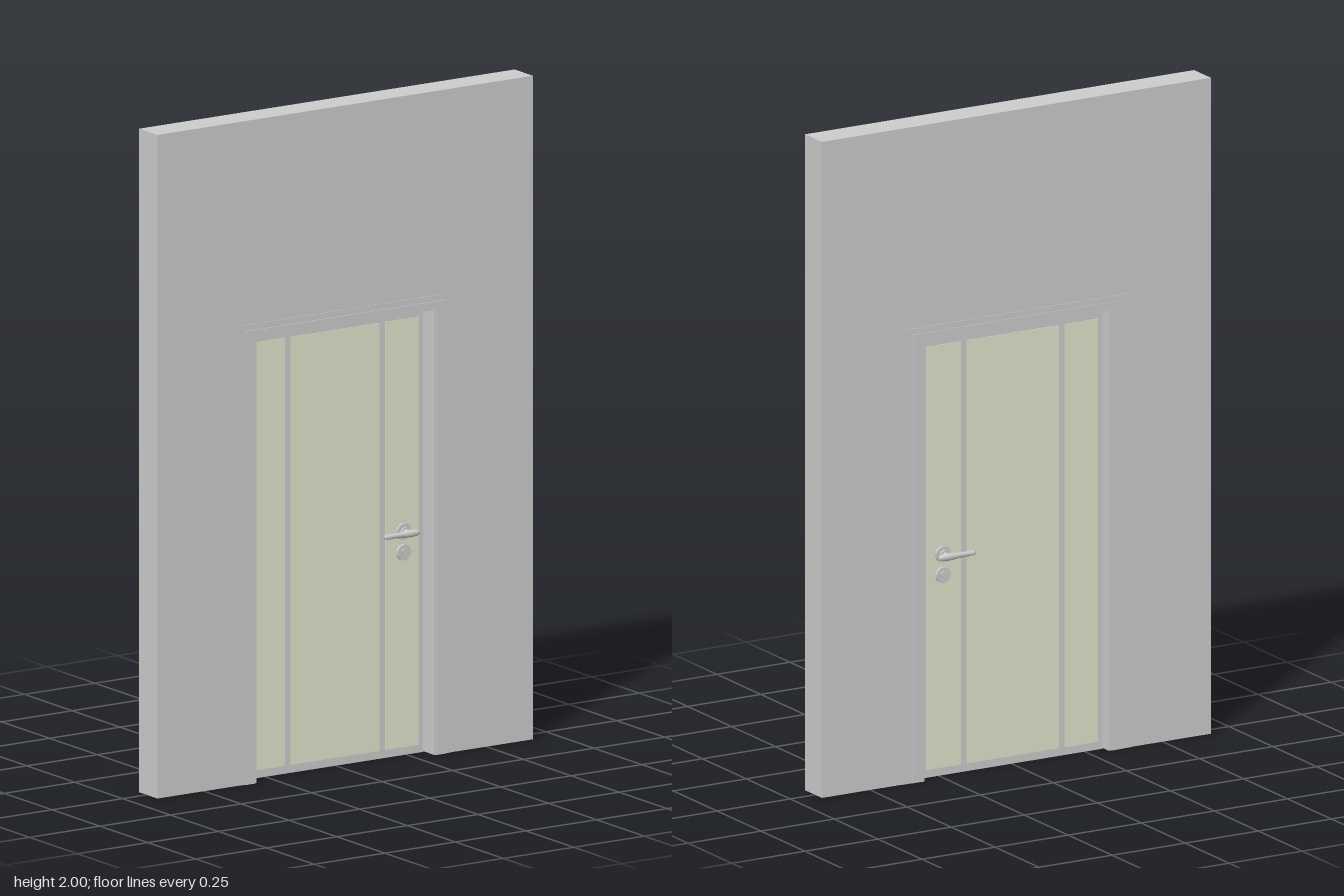
import * as THREE from 'three';

const grey = new THREE.MeshStandardMaterial({ color: 0xcccccc });
const wood = new THREE.MeshStandardMaterial({ color: 0xe0e4cc });

function add(parent, name, geometry, material, x = 0, y = 0, z = 0) {
  const mesh = new THREE.Mesh(geometry, material);
  mesh.name = name;
  mesh.position.set(x, y, z);
  parent.add(mesh);
  return mesh;
}

// Upside-down U standing on the ground, extruded from z0 to z1
function portal(outer, top, inner, innerTop, z0, z1) {
  const s = new THREE.Shape();
  s.moveTo(-outer, 0);
  s.lineTo(-inner, 0);
  s.lineTo(-inner, innerTop);
  s.lineTo(inner, innerTop);
  s.lineTo(inner, 0);
  s.lineTo(outer, 0);
  s.lineTo(outer, top);
  s.lineTo(-outer, top);
  s.closePath();
  const g = new THREE.ExtrudeGeometry(s, { depth: z1 - z0, bevelEnabled: false });
  g.translate(0, 0, z0);
  return g;
}

// Disc facing along z
function disc(r, depth) {
  return new THREE.CylinderGeometry(r, r, depth, 32).rotateX(Math.PI / 2);
}

// Lever handle with rose and key plate; dir is +1 for the front, -1 for the back
function handle(name, face, dir) {
  const group = new THREE.Group();
  group.name = name;
  const x = 0.238, y = 0.675, keyY = 0.612;
  const z = d => face + dir * d;

  add(group, 'rose', disc(0.025, 0.008), grey, x, y, z(0.004));
  add(group, 'roseCollar', disc(0.014, 0.008), grey, x, y, z(0.011));
  add(group, 'neck', disc(0.009, 0.028), grey, x, y, z(0.022));

  // Turned grip lying along x, slimmer towards its free end
  const profile = [
    [0, 0.147], [0.005, 0.148], [0.0075, 0.152], [0.0075, 0.17],
    [0.008, 0.2], [0.0105, 0.225], [0.0115, 0.24], [0.010, 0.258],
    [0.008, 0.266], [0.005, 0.271], [0, 0.272],
  ].map(([r, h]) => new THREE.Vector2(r, h));
  const grip = new THREE.LatheGeometry(profile, 24).rotateZ(-Math.PI / 2);
  grip.scale(1, 1, 0.85);
  add(group, 'lever', grip, grey, 0, y, z(0.037));
  for (const rx of [0.156, 0.162, 0.168]) {
    add(group, 'leverRib', new THREE.TorusGeometry(0.0072, 0.0012, 8, 24).rotateY(Math.PI / 2),
      grey, rx, y, z(0.037));
  }

  add(group, 'keyPlate', disc(0.024, 0.008), grey, x, keyY, z(0.004));
  add(group, 'keyCylinder', disc(0.010, 0.004), grey, x, keyY + 0.003, z(0.01));
  add(group, 'keyCylinderTail', new THREE.BoxGeometry(0.009, 0.016, 0.004), grey, x, keyY - 0.007, z(0.01));
  return group;
}

export function createModel() {
  const model = new THREE.Group();
  model.name = 'doorInWall';

  // Wall and the lining of its opening
  const back = -0.039, front = 0.0565;
  add(model, 'wall', portal(0.665, 2, 0.335, 1.36, back, front), grey);
  add(model, 'frameLining', portal(0.335, 1.36, 0.315, 1.341, back, front), grey);

  // Stepped casings on both faces
  add(model, 'frontCasing', portal(0.375, 1.385, 0.315, 1.341, front, front + 0.002), grey);
  add(model, 'frontCasingRidge', portal(0.355, 1.367, 0.321, 1.347, front + 0.002, front + 0.005), grey);
  add(model, 'backCasing', portal(0.39, 1.385, 0.315, 1.341, back - 0.002, back), grey);
  add(model, 'backCasingRidge', portal(0.358, 1.367, 0.321, 1.347, back - 0.004, back - 0.002), grey);

  // Door leaf: grey core with three raised panels on each face
  const leafFront = 0.008, leafBack = -0.014;
  const door = new THREE.Group();
  door.name = 'door';
  model.add(door);
  const core = leafFront - leafBack - 0.003;
  add(door, 'leafCore', new THREE.BoxGeometry(0.62, 1.336, core), grey,
    0, 0.668, (leafFront + leafBack) / 2);
  for (const [x0, x1] of [[-0.294, -0.18], [-0.16, 0.155], [0.175, 0.294]]) {
    add(door, 'doorPanel', new THREE.BoxGeometry(x1 - x0, 1.29, leafFront - leafBack), wood,
      (x0 + x1) / 2, 0.669, (leafFront + leafBack) / 2);
  }

  door.add(handle('frontHandle', leafFront, 1), handle('backHandle', leafBack, -1));
  return model;
}
